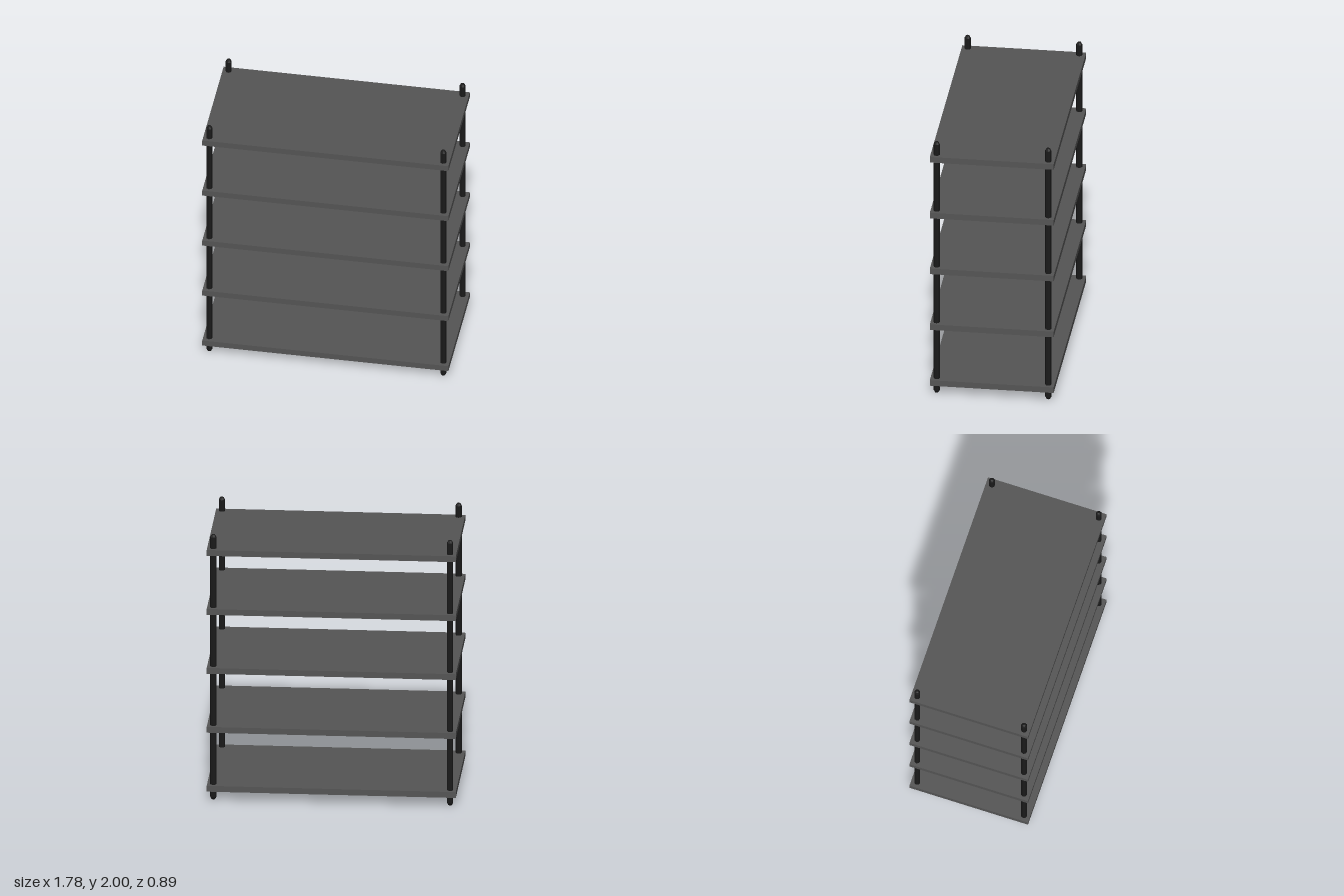
import * as THREE from 'three';

export function createModel() {
  const group = new THREE.Group();
  const shelfMaterial = new THREE.MeshStandardMaterial({ color: 0x555555 });
  const postMaterial = new THREE.MeshStandardMaterial({ color: 0x1a1a1a, flatShading: true });

  // Five evenly spaced shelf boards
  const shelfGeometry = new THREE.BoxGeometry(1.776, 0.044, 0.888);
  for (let i = 0; i < 5; i++) {
    const shelf = new THREE.Mesh(shelfGeometry, shelfMaterial);
    shelf.name = `shelf${i + 1}`;
    shelf.position.y = 0.094 + i * 0.4445;
    group.add(shelf);
  }

  // Round corner posts with tapered tips, passing through every shelf
  const r = 0.022;
  const profile = [
    [0, 0], [r * 0.6, 0.004], [r, 0.02],
    [r, 1.98], [r * 0.6, 1.996], [0, 2],
  ].map(([x, y]) => new THREE.Vector2(x, y));
  const postGeometry = new THREE.LatheGeometry(profile, 8);
  for (const [front, z] of [['front', 0.4], ['back', -0.4]]) {
    for (const [side, x] of [['Left', 0.844], ['Right', -0.844]]) {
      const post = new THREE.Mesh(postGeometry, postMaterial);
      post.name = `${front}${side}Post`;
      post.position.set(x, 0, z);
      group.add(post);
    }
  }
  return group;
}
